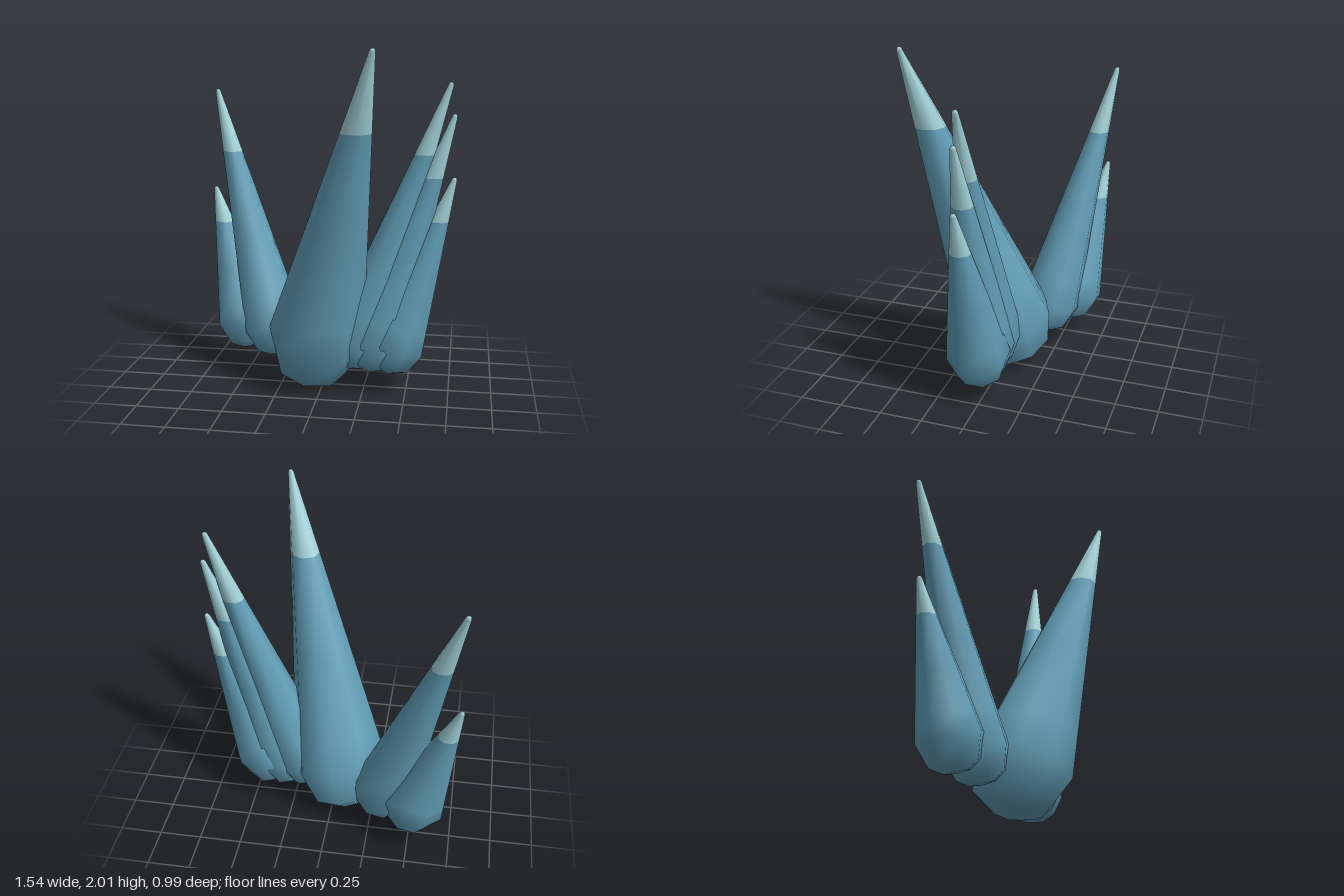
import * as THREE from 'three';

const SIDES = 8;

// Spike: base centre, base radius, tip point, height where the pale tip begins, angle of the first corner
const spikes = [
  ['mainSpike', [-0.04, 0.28, 0.01], 0.29, [0.33, 2.0, 0.485], 1.55, 0],
  ['leftTallSpike', [0.2, 0.29, 0.015], 0.18, [0.725, 1.805, 0.02], 1.4, Math.PI / 8],
  ['leftMiddleSpike', [0.32, 0.28, 0.02], 0.182, [0.75, 1.63, 0.025], 1.27, Math.PI / 8],
  ['leftShortSpike', [0.43, 0.28, 0.02], 0.185, [0.757, 1.275, 0.03], 1.02, Math.PI / 8],
  ['rightTallSpike', [-0.335, 0.28, -0.195], 0.185, [-0.745, 1.72, -0.48], 1.34, Math.PI / 8],
  ['rightShortSpike', [-0.53, 0.285, -0.295], 0.185, [-0.76, 1.105, -0.445], 0.89, Math.PI / 8],
];

function spikeGeometry(centre, radius, tip, tipStart, phase) {
  const base = new THREE.Vector3(...centre);
  const end = new THREE.Vector3(...tip);
  const length = base.distanceTo(end);
  const axis = end.clone().sub(base).normalize();
  const turn = new THREE.Quaternion().setFromUnitVectors(new THREE.Vector3(0, 1, 0), axis);

  // Ring of corners at a distance along the axis
  const ring = (along, r) => Array.from({ length: SIDES }, (_, i) => {
    const a = phase + (i / SIDES) * Math.PI * 2;
    return new THREE.Vector3(Math.cos(a) * r, along, Math.sin(a) * r).applyQuaternion(turn).add(base);
  });
  const wide = ring(0, radius);
  const top = ring(length - 0.018, 0.017);
  const between = (t) => wide.map((p, i) => p.clone().lerp(top[i], t));
  // The pale tip starts at a level line round the spike
  const colourLine = wide.map((p, i) => p.clone().lerp(top[i], (tipStart - p.y) / (top[i].y - p.y)));

  const rings = [
    ring(-0.97 * radius, 0.001),
    ring(-0.93 * radius, 0.38 * radius),
    ring(-0.7 * radius, 0.75 * radius),
    wide, between(0.12), between(0.4), colourLine,
    top, ring(length - 0.005, 0.011), ring(length, 0.001),
  ];
  const positions = rings.flat().flatMap((p) => [p.x, p.y, p.z]);
  const index = [];
  for (let j = 0; j < rings.length - 1; j++) {
    for (let i = 0; i < SIDES; i++) {
      const k = (i + 1) % SIDES;
      const a = j * SIDES + i, b = j * SIDES + k;
      index.push(a, a + SIDES, b, b, a + SIDES, b + SIDES);
    }
  }
  const geometry = new THREE.BufferGeometry();
  geometry.setAttribute('position', new THREE.Float32BufferAttribute(positions, 3));
  geometry.setIndex(index);
  geometry.computeVertexNormals();
  const bodyCount = 6 * SIDES * 6;
  geometry.addGroup(0, bodyCount, 0);
  geometry.addGroup(bodyCount, index.length - bodyCount, 1);
  return geometry;
}

export function createModel() {
  const body = new THREE.MeshStandardMaterial({ color: 0x629eb7 });
  body.name = 'crystalBlue';
  const pale = new THREE.MeshStandardMaterial({ color: 0xa2d2d8 });
  pale.name = 'paleTip';

  const model = new THREE.Group();
  model.name = 'crystalCluster';
  for (const [name, ...shape] of spikes) {
    const mesh = new THREE.Mesh(spikeGeometry(...shape), [body, pale]);
    mesh.name = name;
    model.add(mesh);
  }
  return model;
}
